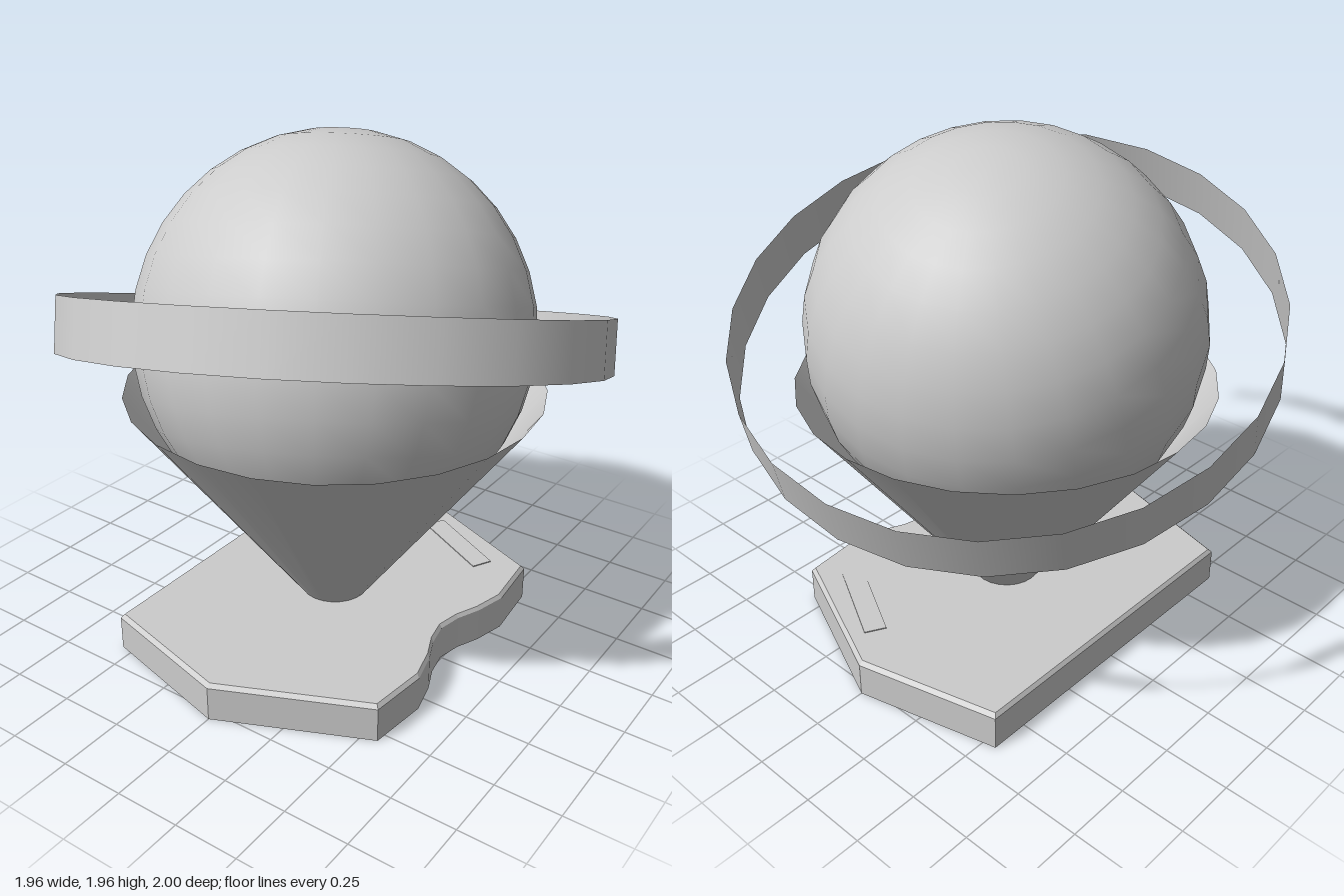
import * as THREE from 'three';

const grey = new THREE.MeshStandardMaterial({ color: 0xcccccc, side: THREE.DoubleSide });
grey.name = 'plainGrey';

function part(name, geometry, parent) {
  const mesh = new THREE.Mesh(geometry, grey);
  mesh.name = name;
  parent.add(mesh);
  return mesh;
}

// Base outline seen from above as [x, z], with a shallow curved notch in the front edge
function baseOutline() {
  const pts = [[-0.65, -0.55], [-0.79, 0], [-0.54, 0.56], [-0.31, 0.585]];
  for (const t of [0.2, 0.35, 0.5, 0.65, 0.8]) {
    pts.push([-0.31 + 0.62 * t, 0.585 - 0.09 * Math.sin(Math.PI * t) ** 2]);
  }
  pts.push([0.31, 0.585], [0.55, 0.56], [0.79, 0], [0.65, -0.55]);
  return pts;
}

// Walls and top bevel of the base: one flat quad per outline side, open underneath
function baseWalls(rows) {
  const pos = [];
  for (let r = 0; r < rows.length - 1; r++) {
    const a = rows[r], b = rows[r + 1];
    for (let i = 0; i < a.length; i++) {
      const j = (i + 1) % a.length;
      pos.push(...a[i], ...a[j], ...b[j], ...a[i], ...b[j], ...b[i]);
    }
  }
  const g = new THREE.BufferGeometry();
  g.setAttribute('position', new THREE.Float32BufferAttribute(pos, 3));
  g.computeVertexNormals();
  return g;
}

export function createModel() {
  const model = new THREE.Group();
  model.name = 'ringedGlobeOnStand';

  // Base: hollow shell with a bevelled top edge
  const base = new THREE.Group();
  base.name = 'base';
  model.add(base);
  const outline = baseOutline();
  const row = (y, s) => outline.map(([x, z]) => [x * s, y, z * s]);
  part('baseWalls', baseWalls([row(0, 1), row(0.135, 1), row(0.15, 0.98)]), base);
  const topShape = new THREE.Shape(outline.map(([x, z]) => new THREE.Vector2(x * 0.98, -z * 0.98)));
  const top = part('baseTop', new THREE.ShapeGeometry(topShape).rotateX(-Math.PI / 2), base);
  top.position.y = 0.15;

  // Small label plate near the front corner
  const plate = part('labelPlate', new THREE.BoxGeometry(0.37, 0.006, 0.085), base);
  plate.position.set(0.545, 0.151, 0.25);
  plate.rotation.y = THREE.MathUtils.degToRad(62);

  // Open cone cup and the stub that pegs it into the base
  const cone = part('coneCup', new THREE.CylinderGeometry(0.78, 0.125, 0.89, 24, 1, true), model);
  cone.position.y = 0.585;
  const peg = part('conePeg', new THREE.CylinderGeometry(0.125, 0.12, 0.08, 24), model);
  peg.position.y = 0.11;

  // Globe and its band share one tilted axis
  const tilted = new THREE.Group();
  tilted.name = 'tiltedGlobe';
  tilted.position.y = 1.23;
  tilted.quaternion.setFromUnitVectors(
    new THREE.Vector3(0, 1, 0),
    new THREE.Vector3(0.32, 1, -0.168).normalize()
  );
  model.add(tilted);
  part('globe', new THREE.SphereGeometry(0.732, 24, 18), tilted);
  part('ringBand', new THREE.CylinderGeometry(1, 1, 0.2, 24, 1, true, Math.PI / 24), tilted);

  return model;
}
